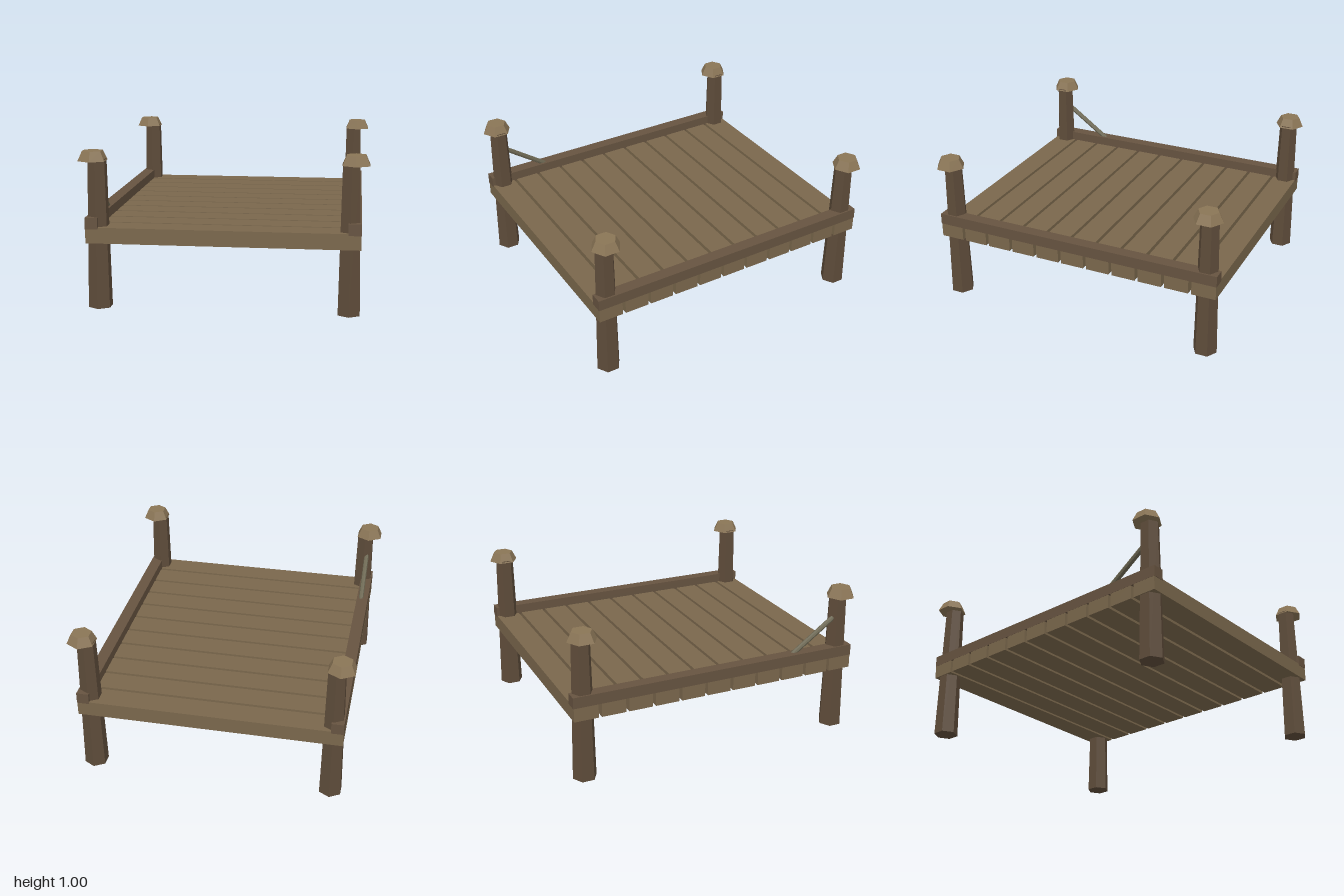
import * as THREE from 'three';

const material = (color) => new THREE.MeshStandardMaterial({ color, flatShading: true });

export function createModel() {
  const group = new THREE.Group();
  const plankMat = material(0x7a674c);
  const railMat = material(0x665340);
  const postMat = material(0x5e4c3a);
  const capMat = material(0x8a7556);
  const braceMat = material(0x6c6752);

  const add = (name, geometry, mat, x, y, z) => {
    const mesh = new THREE.Mesh(geometry, mat);
    mesh.name = name;
    mesh.position.set(x, y, z);
    group.add(mesh);
    return mesh;
  };

  // Deck planks laid across the width
  const plankGeo = new THREE.BoxGeometry(1.71, 0.101, 0.16);
  for (let i = 0; i < 11; i++) add('plank', plankGeo, plankMat, 0, 0.4765, (i - 5) * 0.1806);

  // Side rails, corner posts and their caps
  const railGeo = new THREE.BoxGeometry(0.08, 0.073, 1.972);
  const postGeo = new THREE.CylinderGeometry(0.061, 0.079, 0.95, 6);
  const capGeo = new THREE.CylinderGeometry(0.067, 0.097, 0.062, 6);
  for (const side of [-1, 1]) {
    add('sideRail', railGeo, railMat, side * 0.816, 0.5525, 0);
    for (const end of [-1, 1]) {
      add('post', postGeo, postMat, side * 0.787, 0.475, end * 0.903);
      add('postCap', capGeo, capMat, side * 0.815, 0.969, end * 0.903);
    }
  }

  // Slanted brace from one front post down to its rail
  const top = new THREE.Vector3(-0.806, 0.802, 0.885);
  const foot = new THREE.Vector3(-0.806, 0.564, 0.547);
  const axis = top.clone().sub(foot);
  const middle = top.clone().add(foot).multiplyScalar(0.5);
  const brace = add('brace', new THREE.CylinderGeometry(0.017, 0.017, axis.length(), 8),
    braceMat, middle.x, middle.y, middle.z);
  brace.quaternion.setFromUnitVectors(new THREE.Vector3(0, 1, 0), axis.normalize());

  return group;
}
